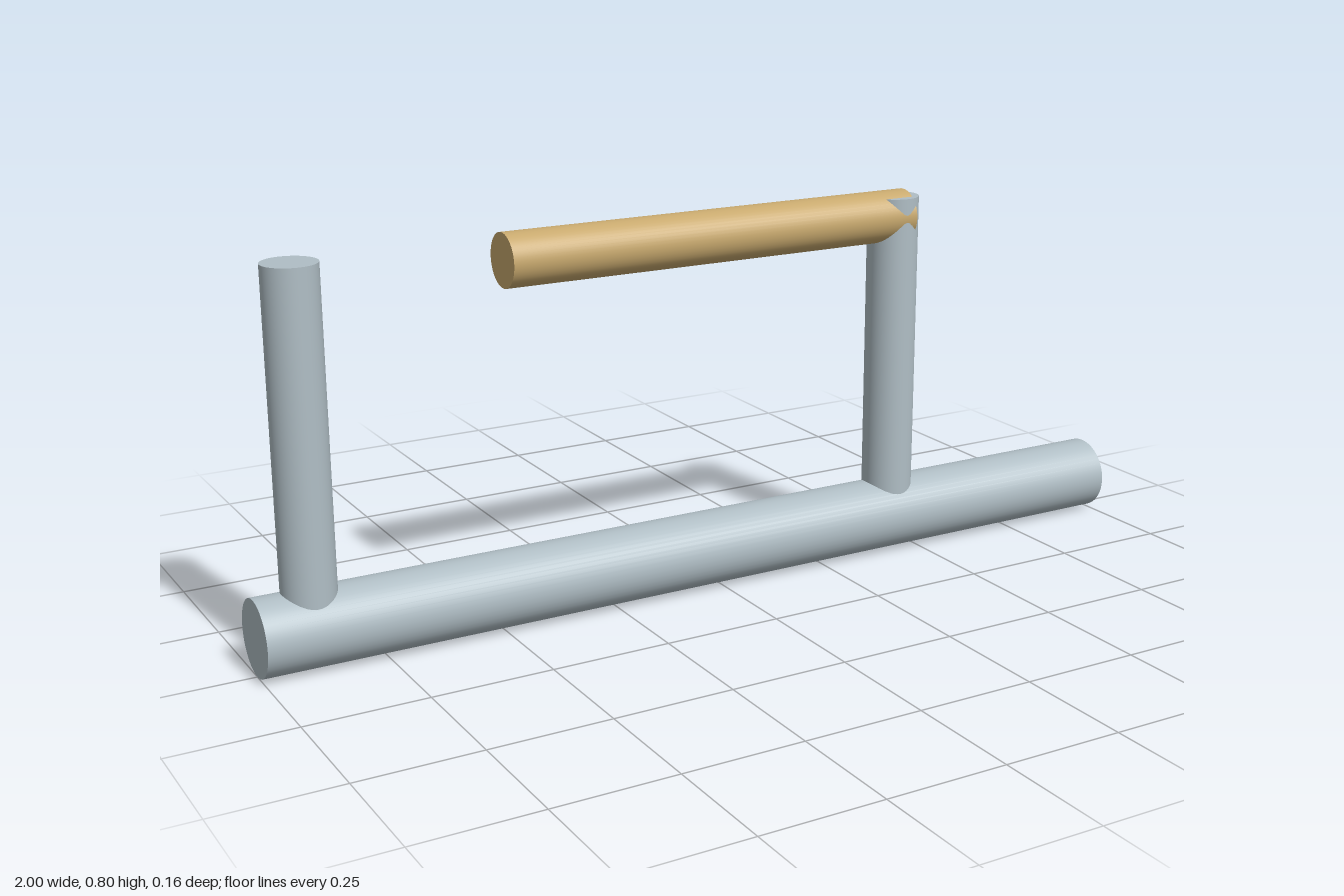
import * as THREE from 'three';

const steel = new THREE.MeshStandardMaterial({ color: 0xb0bec5 });
const wood = new THREE.MeshStandardMaterial({ color: 0xc8a96e });

// Round bar between two points
function bar(name, radius, from, to, material) {
  const a = new THREE.Vector3(...from);
  const b = new THREE.Vector3(...to);
  const axis = b.clone().sub(a);
  const mesh = new THREE.Mesh(new THREE.CylinderGeometry(radius, radius, axis.length(), 48), material);
  mesh.name = name;
  mesh.position.copy(a).add(b).multiplyScalar(0.5);
  mesh.quaternion.setFromUnitVectors(new THREE.Vector3(0, 1, 0), axis.normalize());
  return mesh;
}

export function createModel() {
  const group = new THREE.Group();
  group.name = 'barFrame';

  // Main tube lying on the ground
  const baseRadius = 0.078;
  group.add(bar('baseTube', baseRadius, [-1, baseRadius, 0], [1, baseRadius, 0], steel));

  // Upright posts rising from the middle of the tube
  for (const [name, x] of [['rightPost', -0.89], ['leftPost', 0.44]]) {
    group.add(bar(name, 0.0545, [x, baseRadius, 0], [x, 0.79, 0], steel));
  }

  // Handle reaching inward from the left post
  group.add(bar('handle', 0.055, [-0.47, 0.747, 0], [0.465, 0.747, 0], wood));

  return group;
}
